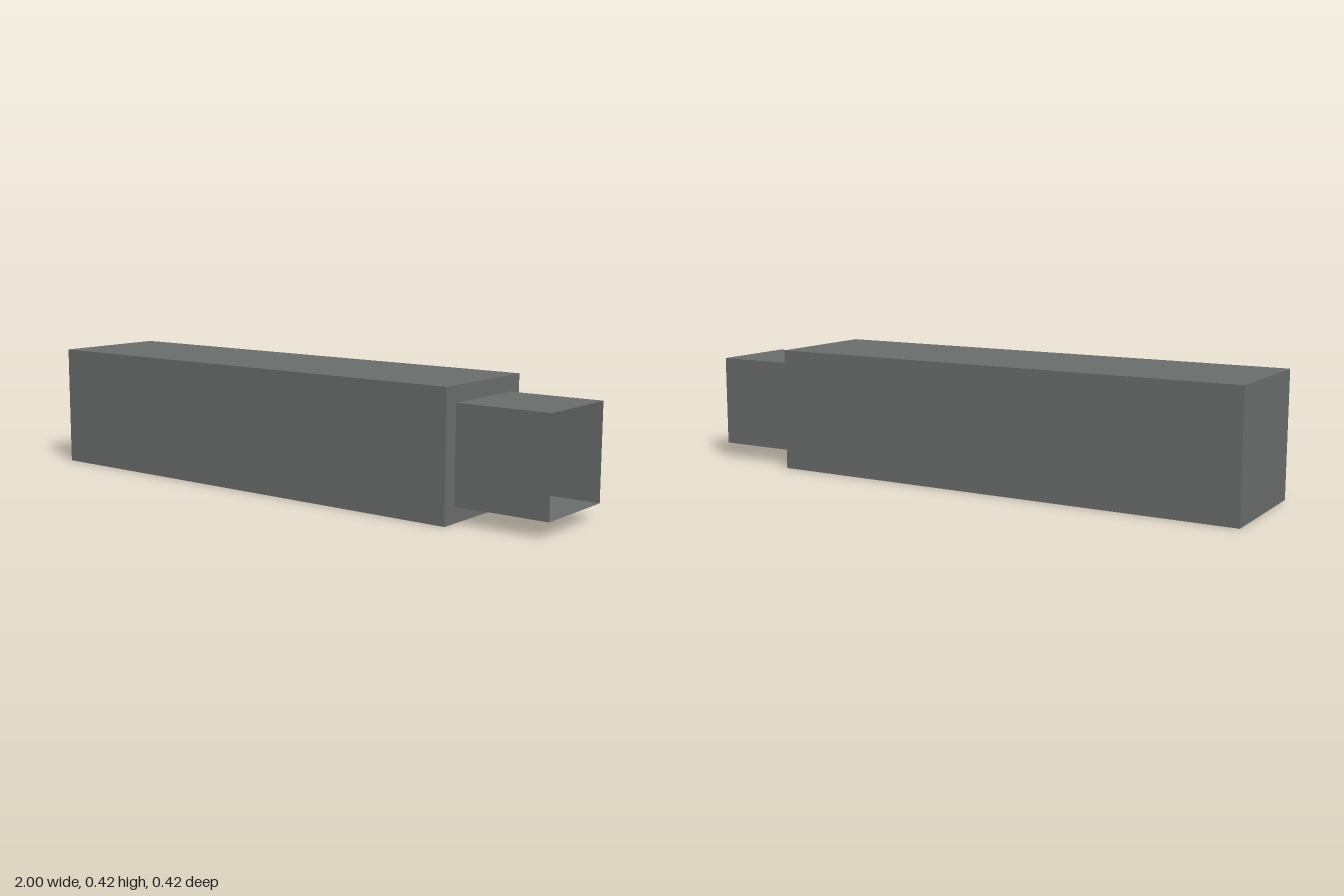
import * as THREE from 'three';

export function createModel() {
  const group = new THREE.Group();
  const HALF = 0.211;      // half the body's width and height
  const STEP = 0.68;       // x where the body ends and the sleeve begins
  const SLEEVE = 0.158;    // half the sleeve's width and height

  const bodyMaterial = new THREE.MeshStandardMaterial({ color: 0x686c6a });
  bodyMaterial.name = 'darkGrey';
  bodyMaterial.side = THREE.DoubleSide;

  // Long closed square body
  const body = new THREE.Mesh(new THREE.BoxGeometry(STEP + 1, HALF * 2, HALF * 2), bodyMaterial);
  body.name = 'body';
  body.position.set((STEP - 1) / 2, HALF, 0);
  group.add(body);

  // Thin square sleeve, open at its outer end
  const tube = new THREE.CylinderGeometry(SLEEVE * Math.SQRT2, SLEEVE * Math.SQRT2, 1 - STEP, 4, 1, true)
    .rotateY(Math.PI / 4)
    .rotateZ(-Math.PI / 2)
    .toNonIndexed();
  tube.computeVertexNormals();
  const sleeve = new THREE.Mesh(tube, bodyMaterial);
  sleeve.name = 'openSleeve';
  sleeve.position.set((STEP + 1) / 2, HALF, 0);
  group.add(sleeve);

  return group;
}
